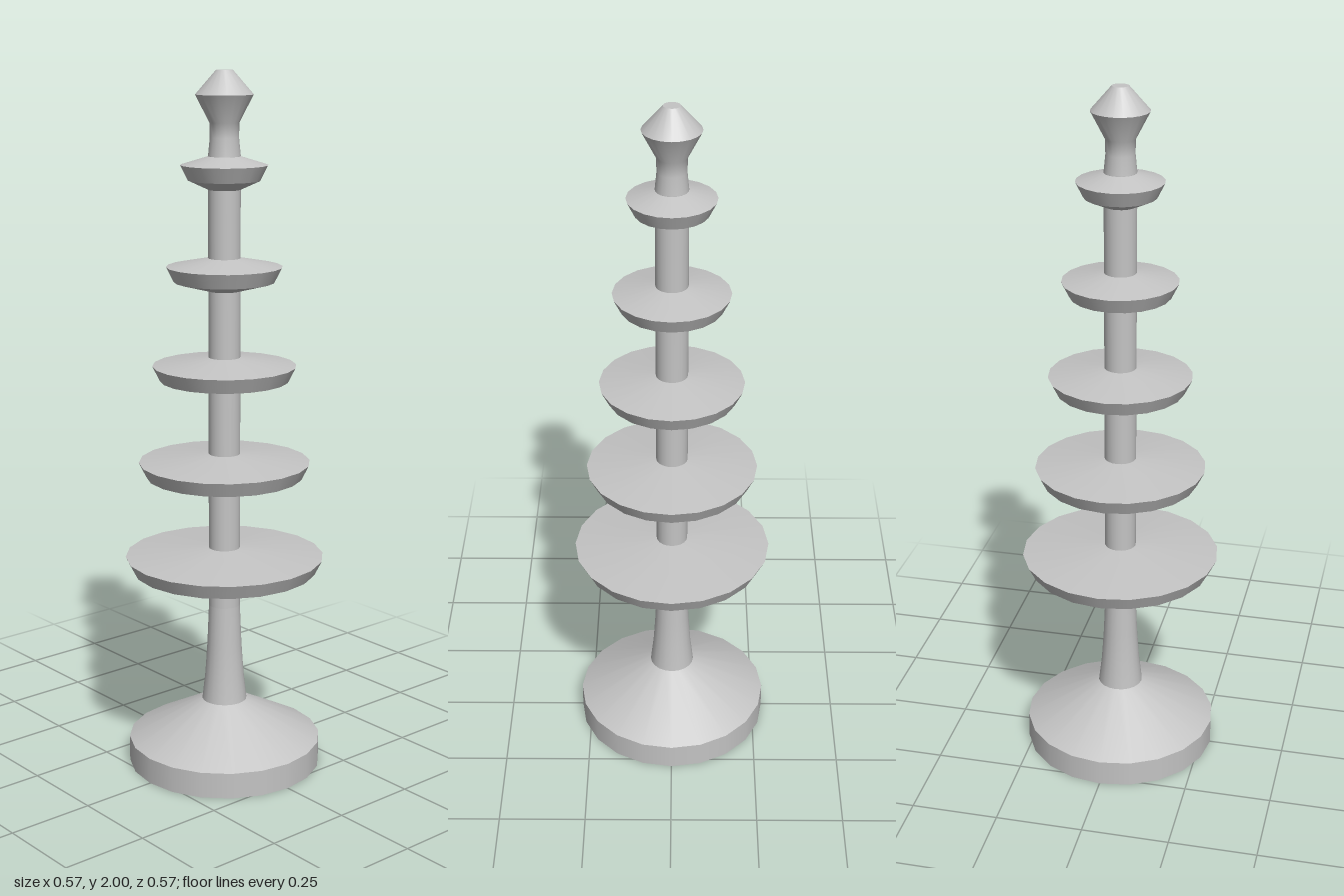
import * as THREE from 'three';

const SIDES = 20;

export function createModel() {
  const model = new THREE.Group();
  const grey = new THREE.MeshStandardMaterial({ color: 0xc4c4c4 });
  grey.name = 'stone grey';

  // Turned part: each band is a smooth profile, with a hard edge between bands
  function turned(name, bands) {
    const part = new THREE.Group();
    part.name = name;
    bands.forEach((band, i) => {
      const points = band.map(([r, y]) => new THREE.Vector2(r, y));
      const mesh = new THREE.Mesh(new THREE.LatheGeometry(points, SIDES), grey);
      mesh.name = `${name}Band${i + 1}`;
      part.add(mesh);
    });
    model.add(part);
  }

  // Splits a profile into one hard-edged band per segment
  const facets = (profile) => profile.slice(1).map((p, i) => [profile[i], p]);

  // Foot: low drum with a sloping top
  turned('base', facets([[0, 0], [0.28, 0], [0.28, 0.075], [0.065, 0.19]]));

  // Flared lower stem running into a straight shaft
  turned('shaft', [
    [[0.065, 0.19], [0.056, 0.27], [0.05, 0.36], [0.045, 0.48]],
    [[0.045, 0.48], [0.045, 1.77]],
  ]);

  // Five tiers, shrinking evenly upward
  for (let i = 0; i < 5; i++) {
    const top = 0.654 + i * 0.279;
    const r = 0.285 - i * 0.041;
    turned(`tier${i + 1}`, facets([
      [0.043, top - 0.092],
      [r - 0.021, top - 0.066],
      [r, top - 0.024],
      [0.043, top],
    ]));
  }

  // Finial: waisted neck, pointed cap and small flat tip
  turned('finial', [
    [[0.045, 1.77], [0.04, 1.82], [0.041, 1.86], [0.08, 1.935]],
    [[0.08, 1.935], [0.023, 2]],
    [[0.023, 2], [0, 2]],
  ]);

  return model;
}
